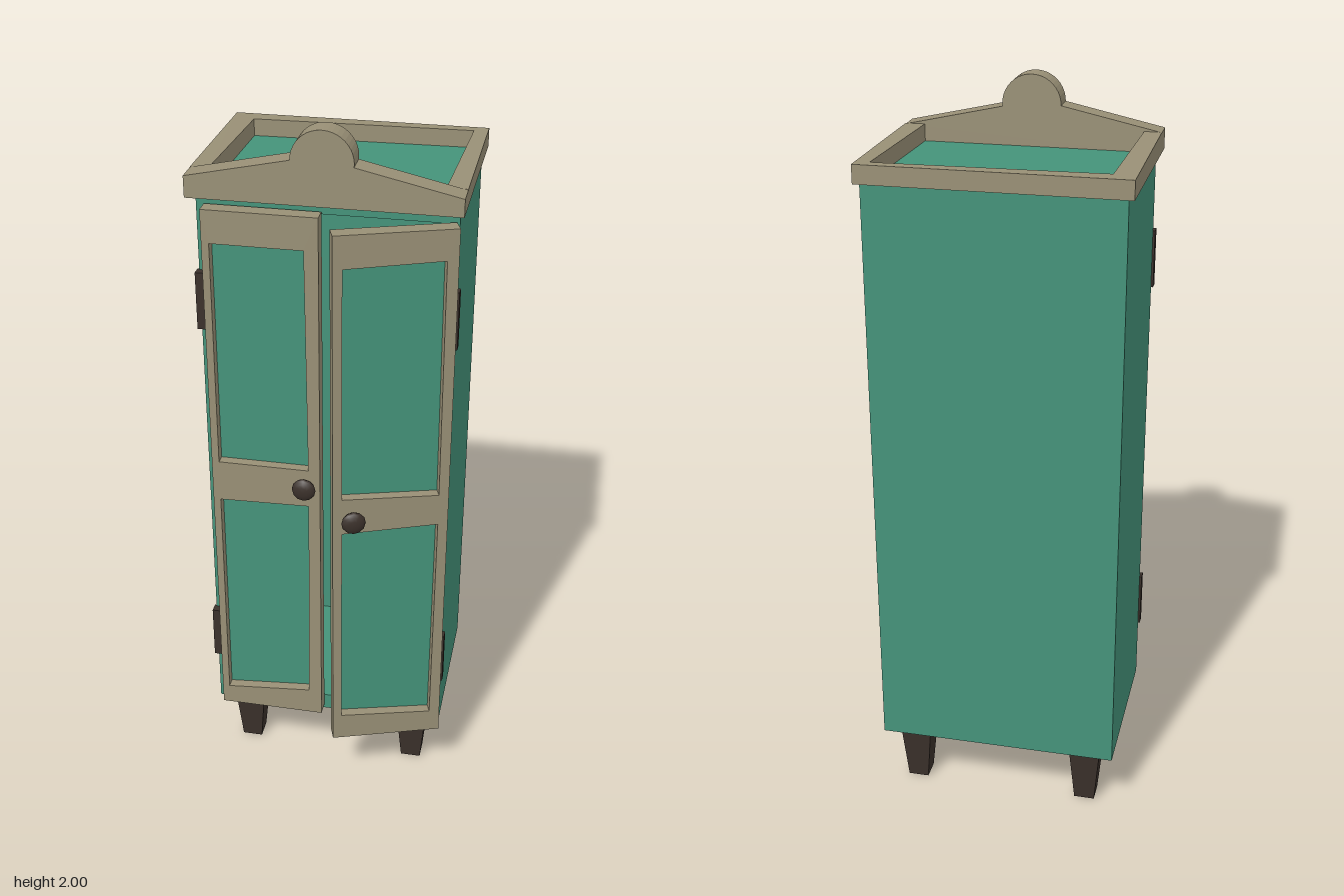
import * as THREE from 'three';

const mat = (name, color) => {
  const m = new THREE.MeshStandardMaterial({ color });
  m.name = name;
  return m;
};

export function createModel() {
  const green = mat('greenPaint', 0x45937a);
  const beige = mat('beigeTrim', 0x999076);
  const dark = mat('darkWood', 0x3b312b);
  const model = new THREE.Group();
  model.name = 'cabinet';

  const add = (parent, name, geometry, material) => {
    const mesh = new THREE.Mesh(geometry, material);
    mesh.name = name;
    parent.add(mesh);
    return mesh;
  };
  const box = (parent, name, material, x0, x1, y0, y1, z0, z1) => {
    const mesh = add(parent, name, new THREE.BoxGeometry(x1 - x0, y1 - y0, z1 - z0), material);
    mesh.position.set((x0 + x1) / 2, (y0 + y1) / 2, (z0 + z1) / 2);
    return mesh;
  };
  const outline = (pts) => new THREE.Shape(pts.map(([x, y]) => new THREE.Vector2(x, y)));
  const extrude = (shape, depth, curveSegments = 8) =>
    new THREE.ExtrudeGeometry(shape, { depth, bevelEnabled: false, curveSegments });

  // Hollow carcass, open at the front
  const body = new THREE.Group();
  body.name = 'carcass';
  model.add(body);
  const [X, Y0, Y1, Z0, Z1, T] = [0.335, 0.18, 1.808, -0.324, 0.147, 0.035];
  box(body, 'leftSide', green, X - T, X, Y0, Y1, Z0, Z1);
  box(body, 'rightSide', green, -X, -X + T, Y0, Y1, Z0, Z1);
  box(body, 'backPanel', green, -X + T, X - T, Y0, Y1, Z0, Z0 + T);
  box(body, 'bottomPanel', green, -X + T, X - T, Y0, Y0 + 0.05, Z0 + T, Z1);
  box(body, 'topPanel', green, -X + T, X - T, Y1 - 0.04, Y1, Z0 + T, Z1);

  // Square tapered legs
  for (const x of [-0.25, 0.25]) {
    for (const z of [-0.246, 0.078]) {
      const g = new THREE.CylinderGeometry(0.045 * Math.SQRT2, 0.029 * Math.SQRT2, 0.18, 4).toNonIndexed();
      g.rotateY(Math.PI / 4);
      g.computeVertexNormals();
      add(model, 'leg', g, dark).position.set(x, 0.09, z);
    }
  }

  // Cornice rails on three sides, with a slightly uneven inner edge
  const rails = extrude(outline([
    [-0.35, -0.133], [-0.35, 0.335], [0.35, 0.335], [0.35, -0.133],
    [0.296, -0.133], [0.312, 0.305], [-0.29, 0.288], [-0.303, -0.133],
  ]), 0.05);
  rails.rotateX(-Math.PI / 2);
  const p = rails.attributes.position;
  for (let i = 0; i < p.count; i++) {
    if (p.getY(i) > 0.025 && p.getZ(i) > 0) p.setY(i, p.getX(i) < 0 ? 0.058 : 0.049);
  }
  rails.computeVertexNormals();
  add(model, 'corniceRails', rails, beige).position.y = 1.805;

  // Pediment board with a round crest
  const crest = outline([[-0.35, 1.805], [0.35, 1.805], [0.35, 1.852], [0.079, 1.912]]);
  crest.absarc(0, 1.92, 0.08, 0, Math.PI, false);
  crest.lineTo(-0.35, 1.862);
  add(model, 'pediment', extrude(crest, 0.064, 10), beige).position.z = 0.133;

  // Framed doors, hung at their local origin
  const THICK = 0.042;
  const makeDoor = (name, edge, openings, knobX, knobY, stem) => {
    const door = new THREE.Group();
    door.name = name;
    const frame = outline(edge);
    for (const o of openings) frame.holes.push(new THREE.Path(outline(o).getPoints()));
    add(door, 'doorFrame', extrude(frame, THICK), beige);
    for (const o of openings) {
      add(door, 'doorPanel', extrude(outline(o), 0.012), green).position.z = 0.002;
    }
    // Flattened knob on a short stem
    const shaft = new THREE.CylinderGeometry(0.009, 0.011, stem, 8);
    shaft.rotateX(Math.PI / 2);
    add(door, 'knobStem', shaft, dark).position.set(knobX, knobY, THICK + stem / 2);
    const ball = new THREE.SphereGeometry(0.033, 12, 8);
    ball.rotateX(Math.PI / 2);
    ball.scale(1, 1, 0.5);
    add(door, 'knob', ball, dark).position.set(knobX, knobY, THICK + stem);
    model.add(door);
    return door;
  };

  const closed = makeDoor('rightDoor',
    [[0, 0.2], [0.302, 0.2], [0.302, 1.777], [0, 1.777]],
    [
      [[0.02, 1.046], [0.27, 1.046], [0.264, 1.687], [0.02, 1.687]],
      [[0.02, 0.26], [0.264, 0.282], [0.27, 0.932], [0.02, 0.925]],
    ], 0.262, 1.0, 0.025);
  closed.position.set(-0.312, 0, 0.155);

  const open = makeDoor('leftDoor',
    [[-0.315, 0.2], [0, 0.195], [0, 1.775], [-0.315, 1.775]],
    [
      [[-0.29, 1.024], [-0.027, 1.015], [-0.03, 1.692], [-0.29, 1.686]],
      [[-0.29, 0.282], [-0.03, 0.266], [-0.027, 0.922], [-0.29, 0.915]],
    ], -0.264, 0.972, 0.035);
  open.position.set(0.328, 0, 0.153);
  open.rotation.y = 0.343;

  // Hinges on both outer edges
  for (const y of [0.355, 1.432]) {
    box(model, 'rightHinge', dark, -0.341, -0.312, y, y + 0.16, 0.143, 0.17);
    box(model, 'leftHinge', dark, 0.315, 0.344, y + 0.003, y + 0.163, 0.143, 0.17);
  }
  return model;
}
